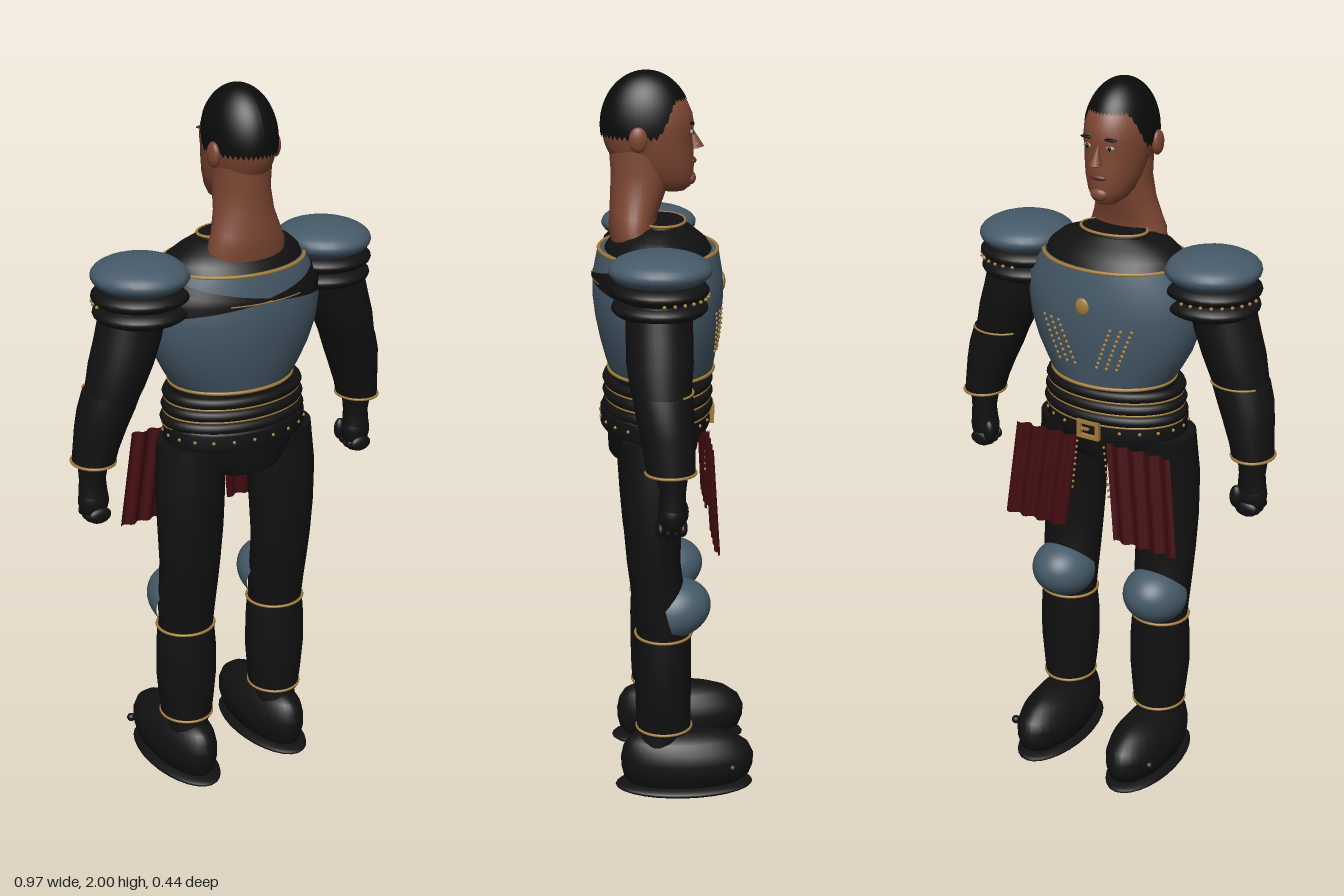
import * as THREE from 'three';

const mat = (name, color, extra = {}) => new THREE.MeshStandardMaterial({ name, color, ...extra });

// Point on an elliptical section. Row: [y, centreX, radiusX, zFront, zBack]; angle 0 is the back.
const onRow = ([y, cx, rx, zf, zb], a, grow = 0) => new THREE.Vector3(
  cx + (rx + grow) * Math.sin(a), y, (zf + zb) / 2 + ((zb - zf) / 2 + grow) * Math.cos(a));

// Section of a loft at any height
function rowAt(rows, y) {
  let i = 0;
  while (i < rows.length - 2 && rows[i + 1][0] < y) i++;
  const t = (y - rows[i][0]) / (rows[i + 1][0] - rows[i][0]);
  return rows[i].map((v, k) => v + (rows[i + 1][k] - v) * t);
}

// Closed body through sections listed from bottom to top
function loft(rows, n = 36) {
  const pos = [], idx = [];
  const addRing = row => { for (let j = 0; j < n; j++) pos.push(...onRow(row, j / n * Math.PI * 2).toArray()); };
  rows.forEach(addRing);
  for (let i = 0; i < rows.length - 1; i++) for (let j = 0; j < n; j++) {
    const a = i * n + j, b = i * n + (j + 1) % n;
    idx.push(a, b, a + n, b, b + n, a + n);
  }
  for (const [row, top] of [[rows[0], false], [rows[rows.length - 1], true]]) {
    const s = pos.length / 3;
    addRing(row);
    pos.push(row[1], row[0], (row[3] + row[4]) / 2);
    for (let j = 0; j < n; j++) {
      const a = s + j, b = s + (j + 1) % n;
      idx.push(s + n, top ? a : b, top ? b : a);
    }
  }
  const g = new THREE.BufferGeometry();
  g.setAttribute('position', new THREE.Float32BufferAttribute(pos, 3));
  g.setIndex(idx);
  g.computeVertexNormals();
  return g;
}

// Tube following a section, whole or between two angles
function trim(row, r, a0 = 0, a1 = Math.PI * 2) {
  const closed = a1 - a0 > 6.28, pts = [];
  for (let i = 0; i < (closed ? 32 : 33); i++) pts.push(onRow(row, a0 + (a1 - a0) * i / 32));
  return new THREE.TubeGeometry(new THREE.CatmullRomCurve3(pts, closed), 64, r, 8, closed);
}

const ball = (rx, ry, rz) => new THREE.SphereGeometry(1, 28, 18).scale(rx, ry, rz);

export function createModel() {
  const black = mat('black armour', 0x111112), blue = mat('steel blue', 0x465a69),
    gold = mat('gold', 0xa37c3a), skin = mat('skin', 0x7d4632), red = mat('dark red cloth', 0x430c10, { side: THREE.DoubleSide }),
    hairMat = mat('hair', 0x0b0b0b, { side: THREE.DoubleSide }), white = mat('eye white', 0xa89c90), lipMat = mat('lips', 0x613027);
  const model = new THREE.Group();
  const add = (name, geo, material, x = 0, y = 0, z = 0) => {
    const m = new THREE.Mesh(geo, material);
    m.name = name;
    m.position.set(x, y, z);
    model.add(m);
    return m;
  };

  // Neck and head (the face looks toward -z)
  add('neck', loft([[1.56, 0, 0.115, 0.04, 0.165], [1.60, 0, 0.11, 0.045, 0.17], [1.63, 0, 0.098, 0.04, 0.168],
    [1.68, 0, 0.081, 0.022, 0.165], [1.74, 0, 0.073, 0, 0.163], [1.84, 0, 0.075, 0, 0.17]]), skin);
  add('face', loft([[1.688, 0, 0.025, -0.03, 0.03], [1.70, 0, 0.042, -0.046, 0.07], [1.725, 0, 0.06, -0.053, 0.11],
    [1.76, 0, 0.071, -0.055, 0.13], [1.80, 0, 0.079, -0.053, 0.15], [1.83, 0, 0.083, -0.050, 0.16],
    [1.86, 0, 0.085, -0.055, 0.165], [1.89, 0, 0.083, -0.05, 0.165], [1.92, 0, 0.074, -0.037, 0.16], [1.94, 0, 0.06, -0.015, 0.14]]), skin);
  add('skull', ball(0.086, 0.133, 0.116), skin, 0, 1.86, 0.07);

  // Hair cap with a hairline that drops behind the ears
  const hair = new THREE.SphereGeometry(1, 48, 20), hp = hair.attributes.position, uv = hair.attributes.uv;
  for (let i = 0; i < hp.count; i++) {
    const a = uv.getX(i) * Math.PI * 2, back = Math.cos(a);
    const low = 1.09 + 0.7 * THREE.MathUtils.smoothstep(back, -0.75, -0.15);
    const t = (1 - uv.getY(i)) * low;
    hp.setXYZ(i, 0.092 * Math.sin(t) * Math.sin(a), 0.14 * Math.cos(t), 0.12 * Math.sin(t) * back);
  }
  hair.computeVertexNormals();
  add('hair', hair, hairMat, 0, 1.86, 0.07);

  const nose = new THREE.ConeGeometry(0.016, 0.055, 12).scale(1, 1, 1.4);
  add('nose', nose, skin, 0, 1.825, -0.054).rotation.x = 0.2;
  add('noseTip', ball(0.014, 0.01, 0.013), skin, 0, 1.806, -0.062);
  add('mouth', ball(0.025, 0.008, 0.01), lipMat, 0, 1.766, -0.051);
  add('chin', ball(0.025, 0.018, 0.015), skin, 0, 1.72, -0.045);
  for (const s of [-1, 1]) {
    add('ear', ball(0.013, 0.033, 0.024), skin, s * 0.092, 1.835, 0.095);
    add('eye', ball(0.012, 0.006, 0.005), white, s * 0.033, 1.845, -0.046);
    add('pupil', ball(0.005, 0.006, 0.004), hairMat, s * 0.033, 1.845, -0.049);
    add('eyebrow', ball(0.02, 0.004, 0.006), hairMat, s * 0.034, 1.867, -0.047);
  }

  // Breastplate, shoulder yoke and collar
  const chest = [[1.20, 0, 0.17, -0.105, 0.17], [1.24, 0, 0.195, -0.112, 0.183], [1.29, 0, 0.222, -0.12, 0.196],
    [1.35, 0, 0.243, -0.128, 0.208], [1.41, 0, 0.25, -0.133, 0.215], [1.47, 0, 0.245, -0.131, 0.213], [1.535, 0, 0.205, -0.12, 0.2]];
  add('chestPlate', loft(chest, 56), blue);
  add('yoke', loft([[1.53, 0, 0.2, -0.105, 0.185], [1.555, 0, 0.19, -0.09, 0.17], [1.58, 0, 0.16, -0.06, 0.15], [1.60, 0, 0.11, -0.035, 0.11]]), black);
  add('collar', loft([[1.55, 0, 0.11, -0.045, 0.11], [1.61, 0, 0.092, -0.03, 0.095]]), black);
  add('collarTrim', trim([1.608, 0, 0.094, -0.032, 0.092], 0.004), gold);
  add('chestTopTrim', trim([1.535, 0, 0.202, -0.117, 0.197], 0.005), gold);
  add('chestBottomTrim', trim([1.207, 0, 0.175, -0.108, 0.174], 0.005), gold);
  add('backTrim', trim([1.463, 0, 0.246, -0.13, 0.215], 0.003, -0.45, 0.45), gold);

  // Black wedges on the back, tapering toward the spine
  for (const s of [-1, 1]) {
    const g = new THREE.PlaneGeometry(1, 1, 24, 6), p = g.attributes.position;
    for (let i = 0; i < p.count; i++) {
      const t = p.getX(i) + 0.5, k = s > 0 ? t : 1 - t;
      const y = 1.47 + 0.005 * k + p.getY(i) * (0.006 + 0.088 * k);
      const v = onRow(rowAt(chest, y), s * k * 1.2, 0.004);
      p.setXYZ(i, v.x, v.y, v.z);
    }
    g.computeVertexNormals();
    add('backWedge', g, black);
  }

  // Chest medallion and slanted beaded ornaments
  const onChest = (x, y) => {
    const row = rowAt(chest, y);
    return onRow(row, Math.PI - Math.asin(x / row[2]));
  };
  add('medallion', ball(0.02, 0.024, 0.008), gold, 0, 1.44, -0.132);
  for (const s of [-1, 1]) for (let c = 0; c < 3; c++) for (let i = 0; i < 9; i++) {
    const t = i / 8, v = onChest(s * (0.105 - 0.045 * t + (c - 1) * 0.027), 1.385 - 0.115 * t);
    add('chestBead', new THREE.SphereGeometry(0.005, 8, 6), gold, v.x, v.y, v.z);
  }

  // Ribbed waist, belt and buckle
  add('waist', loft([[1.04, 0, 0.185, -0.085, 0.17], [1.21, 0, 0.17, -0.098, 0.165]]), black);
  [1.18, 1.145, 1.11].forEach((y, i) => {
    add('waistRib', trim([y, 0, 0.187 + i * 0.004, -0.092, 0.176], 0.015), black);
    add('waistTrim', trim([y - 0.014, 0, 0.194 + i * 0.004, -0.099, 0.182], 0.004), gold);
  });
  const belt = [1.078, 0, 0.206, -0.099, 0.198];
  add('belt', loft([[1.05, 0, 0.2, -0.095, 0.194], [1.056, ...belt.slice(1)], [1.096, ...belt.slice(1)], [1.102, 0, 0.2, -0.095, 0.194]]), black);
  for (let i = 0; i < 22; i++) {
    const v = onRow(belt, (i + 0.5) / 22 * Math.PI * 2);
    add('beltStud', new THREE.SphereGeometry(0.005, 8, 6), gold, v.x, v.y, v.z);
  }
  const frame = new THREE.Shape([[-0.034, -0.026], [0.034, -0.026], [0.034, 0.026], [-0.034, 0.026]].map(p => new THREE.Vector2(...p)));
  frame.holes.push(new THREE.Path([[-0.023, -0.016], [-0.023, 0.016], [0.023, 0.016], [0.023, -0.016]].map(p => new THREE.Vector2(...p))));
  add('buckle', new THREE.ExtrudeGeometry(frame, { depth: 0.012, bevelEnabled: false }), gold, 0, 1.078, -0.11);
  add('bucklePin', new THREE.BoxGeometry(0.026, 0.006, 0.008), gold, 0.012, 1.078, -0.105);
  add('pelvis', loft([[0.965, 0, 0.12, -0.05, 0.17], [0.975, 0, 0.13, -0.065, 0.176], [1.01, 0, 0.17, -0.07, 0.178], [1.06, 0, 0.195, -0.08, 0.18]]), black);

  for (const s of [-1, 1]) {
    const side = rows => rows.map(([y, cx, ...r]) => [y, s * cx, ...r]);
    const row = (...r) => side([r])[0];

    // Pleated cloth panel, flaring outward at the hem
    const cloth = new THREE.PlaneGeometry(1, 1, 40, 4), cp = cloth.attributes.position;
    for (let i = 0; i < cp.count; i++) {
      const u = cp.getX(i) + 0.5, t = 0.5 - cp.getY(i);
      cp.setXYZ(i, s * (0.045 + 0.195 * u + 0.032 * t), 1.04 - 0.28 * t, -0.086 - 0.016 * t + 0.007 * Math.sin(u * Math.PI * 8));
    }
    cloth.computeVertexNormals();
    add('clothPanel', cloth, red);
    for (let i = 0; i < 9; i++) add('panelBead', new THREE.SphereGeometry(0.004, 6, 5), gold, s * (0.042 + i * 0.002), 1.03 - i * 0.018, -0.094);

    // Shoulder: domed cap cut off on the inner side, over two black layers
    const cap = ball(0.127, 0.048, 0.132), p = cap.attributes.position;
    for (let i = 0; i < p.count; i++) p.setX(i, s * Math.max(p.getX(i) * s, -0.103));
    add('shoulderCap', cap, blue, s * 0.284, 1.543, 0.05);
    add('upperShoulderLayer', ball(0.13, 0.036, 0.126), black, s * 0.284, 1.492, 0.052);
    add('lowerShoulderLayer', ball(0.127, 0.036, 0.123), black, s * 0.284, 1.448, 0.052);
    for (let i = 0; i < 9; i++) {
      const v = onRow(row(1.478, 0.284, 0.126, -0.072, 0.174), s * (1.6 + i * 0.22));
      add('shoulderStud', new THREE.SphereGeometry(0.005, 8, 6), gold, v.x, v.y, v.z);
    }

    // Arm, bracer and fist
    add('upperArm', loft(side([[1.21, 0.385, 0.07, -0.015, 0.12], [1.26, 0.367, 0.077, -0.025, 0.132], [1.32, 0.348, 0.085, -0.03, 0.14],
      [1.38, 0.328, 0.088, -0.03, 0.14], [1.47, 0.305, 0.088, -0.03, 0.138]])), black);
    add('bracer', loft(side([[1.05, 0.425, 0.055, -0.03, 0.095], [1.09, 0.418, 0.059, -0.03, 0.1], [1.15, 0.404, 0.069, -0.03, 0.11],
      [1.20, 0.39, 0.077, -0.028, 0.12], [1.25, 0.373, 0.079, -0.026, 0.126]])), black);
    add('bracerTrim', trim(row(1.054, 0.425, 0.056, -0.031, 0.096), 0.004), gold);
    add('elbowTrim', trim(row(1.25, 0.373, 0.079, -0.027, 0.126), 0.003, 2.2, 4.1), gold);
    add('wrist', loft(side([[0.95, 0.427, 0.04, -0.005, 0.065], [1.0, 0.427, 0.036, -0.005, 0.06], [1.06, 0.425, 0.042, -0.01, 0.075]])), black);
    add('palm', ball(0.042, 0.055, 0.036), black, s * 0.427, 0.94, 0.03);
    for (let i = 0; i < 4; i++) add('finger', ball(0.033, 0.022, 0.013), black, s * 0.425, 0.897 + Math.abs(i - 1.5) * 0.005, 0.003 + i * 0.019);
    add('thumb', ball(0.018, 0.032, 0.015), black, s * 0.395, 0.935, 0.0);

    // Leg with greave and knee guard
    add('thigh', loft(side([[0.47, 0.15, 0.076, -0.035, 0.108], [0.55, 0.15, 0.082, -0.03, 0.115], [0.62, 0.15, 0.085, -0.02, 0.125],
      [0.70, 0.15, 0.088, -0.01, 0.135], [0.80, 0.149, 0.094, -0.014, 0.143], [0.92, 0.147, 0.097, -0.028, 0.15], [1.05, 0.14, 0.09, -0.045, 0.15]])), black);
    add('greave', loft(side([[0.195, 0.15, 0.07, -0.04, 0.11], [0.25, 0.15, 0.078, -0.04, 0.113], [0.33, 0.15, 0.087, -0.04, 0.115],
      [0.42, 0.15, 0.086, -0.04, 0.115], [0.49, 0.15, 0.08, -0.04, 0.112]])), black);
    add('greaveTopTrim', trim(row(0.488, 0.15, 0.081, -0.041, 0.113), 0.004), gold);
    add('greaveBottomTrim', trim(row(0.205, 0.15, 0.072, -0.041, 0.111), 0.004), gold);
    const knee = new THREE.SphereGeometry(1, 32, 16, 0, Math.PI * 2, 0, 1.75).scale(0.09, 0.105, 0.082).rotateX(-Math.PI / 2 + 0.25);
    add('kneeGuard', knee, blue, s * 0.15, 0.56, 0.01);

    // Boot and sole
    add('ankle', loft(side([[0.12, 0.15, 0.06, -0.02, 0.11], [0.2, 0.15, 0.055, -0.01, 0.1]])), black);
    add('boot', loft(side([[0.025, 0.15, 0.06, -0.17, 0.13], [0.05, 0.15, 0.077, -0.205, 0.148], [0.08, 0.15, 0.085, -0.216, 0.155],
      [0.11, 0.15, 0.086, -0.217, 0.156], [0.14, 0.15, 0.078, -0.203, 0.15], [0.165, 0.15, 0.06, -0.17, 0.135], [0.18, 0.15, 0.038, -0.13, 0.11], [0.185, 0.15, 0.015, -0.09, 0.06]])), black);
    add('sole', ball(0.09, 0.02, 0.194), black, s * 0.15, 0.022, -0.022);
    add('toeRivet', ball(0.012, 0.012, 0.012), black, s * 0.225, 0.1, -0.152);
  }
  return model;
}
